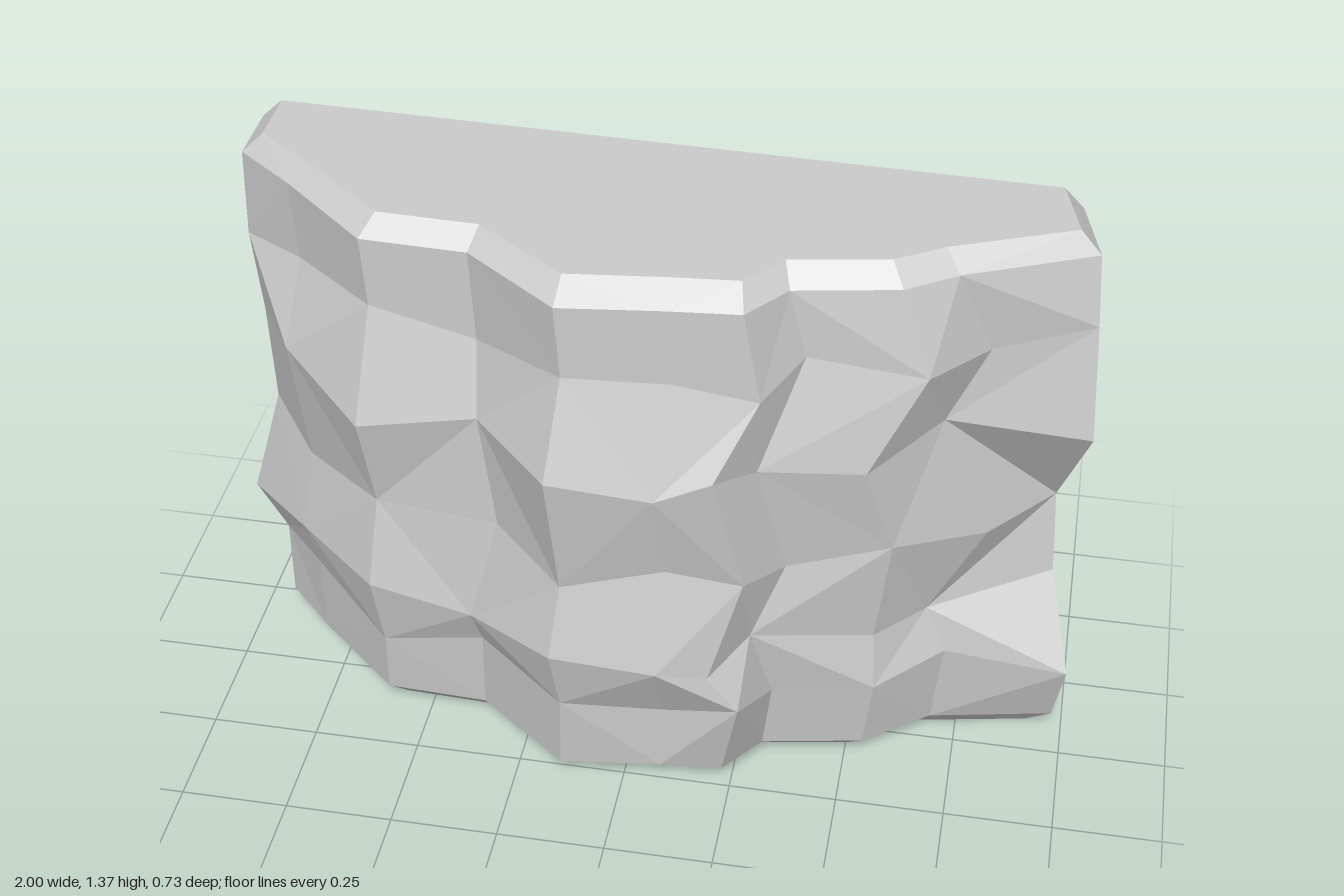
import * as THREE from 'three';

// Plan outline [x, z]: back left, round the front, to back right
const OUTLINE = [
  [-0.93, -0.365], [-0.93, -0.2], [-0.81, -0.06], [-0.6, 0.13], [-0.36, 0.14], [-0.14, 0.31], [0.09, 0.28],
  [0.24, 0.265], [0.32, 0.16], [0.55, 0.115], [0.7, 0], [0.96, -0.11], [0.91, -0.3],
];
const LAST = OUTLINE.length - 1;
const RIGHT_EDGE = LAST - 1;

// Weathering per layer: bulge pushes the front out, sway moves the ribs sideways,
// left and right push out the two ends
const LAYERS = [
  { y: 0.05, bulge: -0.02, sway: -0.01, left: 0, right: 0.03 },
  { y: 0.25, bulge: 0, sway: 0.01, left: 0, right: 0.08 },
  { y: 0.4, bulge: 0.04, sway: -0.04, left: 0.07, right: -0.05 },
  { y: 0.63, bulge: 0, sway: 0.03, left: -0.01, right: -0.08 },
  { y: 0.91, bulge: 0.05, sway: -0.035, left: 0, right: 0.06 },
  { y: 1.13, bulge: -0.03, sway: 0.05, left: 0.02, right: 0.02 },
  { y: 1.32, bulge: -0.03, sway: 0.01, left: 0.015, right: -0.01 },
];

// Single knobs and hollows: [column, layer, sideways, outwards]
const KNOBS = [
  [6, 1, 0, -0.02], [7, 1, 0.02, 0.03], [6, 2, 0.01, 0.02], [9, 2, 0.04, -0.06], [10, 2, 0, -0.05],
  [4, 3, 0.05, 0.03], [10, 3, 0.05, -0.04], [4, 4, 0.03, -0.03], [10, 4, 0, -0.05],
  [9, 5, 0.03, 0.025], [10, 6, -0.04, 0.04],
];

// One horizontal section of the rock
function section(layer, j) {
  const inner = j > 0 && j < LAYERS.length - 1;
  return OUTLINE.map(([x, z], i) => {
    const p = new THREE.Vector3(x, layer.y, z);
    if (i < 2) {
      p.x -= layer.left;
    } else if (i === RIGHT_EDGE) {
      p.x += layer.right * 0.45;
      p.z += layer.right;
    } else if (i < RIGHT_EDGE) {
      p.z += layer.bulge;
      p.x += layer.sway * (i > 6 ? 1 : 0.3);
    }
    // Uneven heights keep the facets from lining up
    if (inner && i > 0 && i < LAST) p.y += 0.03 * Math.sin(i * 2.3 + j * 4.1);
    return p;
  });
}

// Section drawn inwards, for the chamfered top and bottom
const inset = (ring, y, sx, sz) =>
  ring.map(p => new THREE.Vector3(p.x * sx, y, -0.33 + (p.z + 0.33) * sz));

function meshFrom(name, points, material) {
  const geometry = new THREE.BufferGeometry().setFromPoints(points);
  geometry.computeVertexNormals();
  const mesh = new THREE.Mesh(geometry, material);
  mesh.name = name;
  return mesh;
}

export function createModel() {
  const group = new THREE.Group();
  group.name = 'rockCliff';
  const stone = new THREE.MeshStandardMaterial({ color: 0xcccccc, flatShading: true });
  const smoothStone = new THREE.MeshStandardMaterial({ color: 0xcccccc });

  const rows = LAYERS.map(section);
  for (const [i, j, dx, dz] of KNOBS) {
    rows[j][i].x += dx;
    rows[j][i].z += dz;
  }
  rows.unshift(inset(rows[0], 0, 0.94, 0.9));
  rows.push(inset(rows[rows.length - 1], 1.365, 0.95, 0.9));

  // Faceted front and sides with alternating diagonals, and a flat back strip
  const face = [];
  const back = [];
  for (let j = 0; j < rows.length - 1; j++) {
    const lower = rows[j], upper = rows[j + 1];
    for (let i = 0; i < LAST; i++) {
      const a = lower[i], b = lower[i + 1], c = upper[i + 1], d = upper[i];
      if ((i + j) % 2) face.push(a, b, c, a, c, d);
      else face.push(a, b, d, b, c, d);
    }
    back.push(lower[LAST], lower[0], upper[0], lower[LAST], upper[0], upper[LAST]);
  }
  group.add(meshFrom('rockFace', face, stone));

  // Back wall with softly fanned normals
  const backWall = meshFrom('backWall', back, smoothStone);
  const normals = backWall.geometry.attributes.normal;
  back.forEach((p, k) => {
    const n = new THREE.Vector3(p.x * 0.5, (p.y - 0.68) * 0.7, -1).normalize();
    normals.setXYZ(k, n.x, n.y, n.z);
  });
  group.add(backWall);

  // Flat top and underside
  const cap = (name, ring, up) => {
    const outline = ring.map(p => new THREE.Vector2(p.x, -p.z));
    const points = THREE.ShapeUtils.triangulateShape(outline, [])
      .flatMap(([a, b, c]) => (up ? [a, b, c] : [a, c, b]).map(k => ring[k]));
    group.add(meshFrom(name, points, stone));
  };
  cap('topSurface', rows[rows.length - 1], true);
  cap('underside', rows[0], false);
  return group;
}
